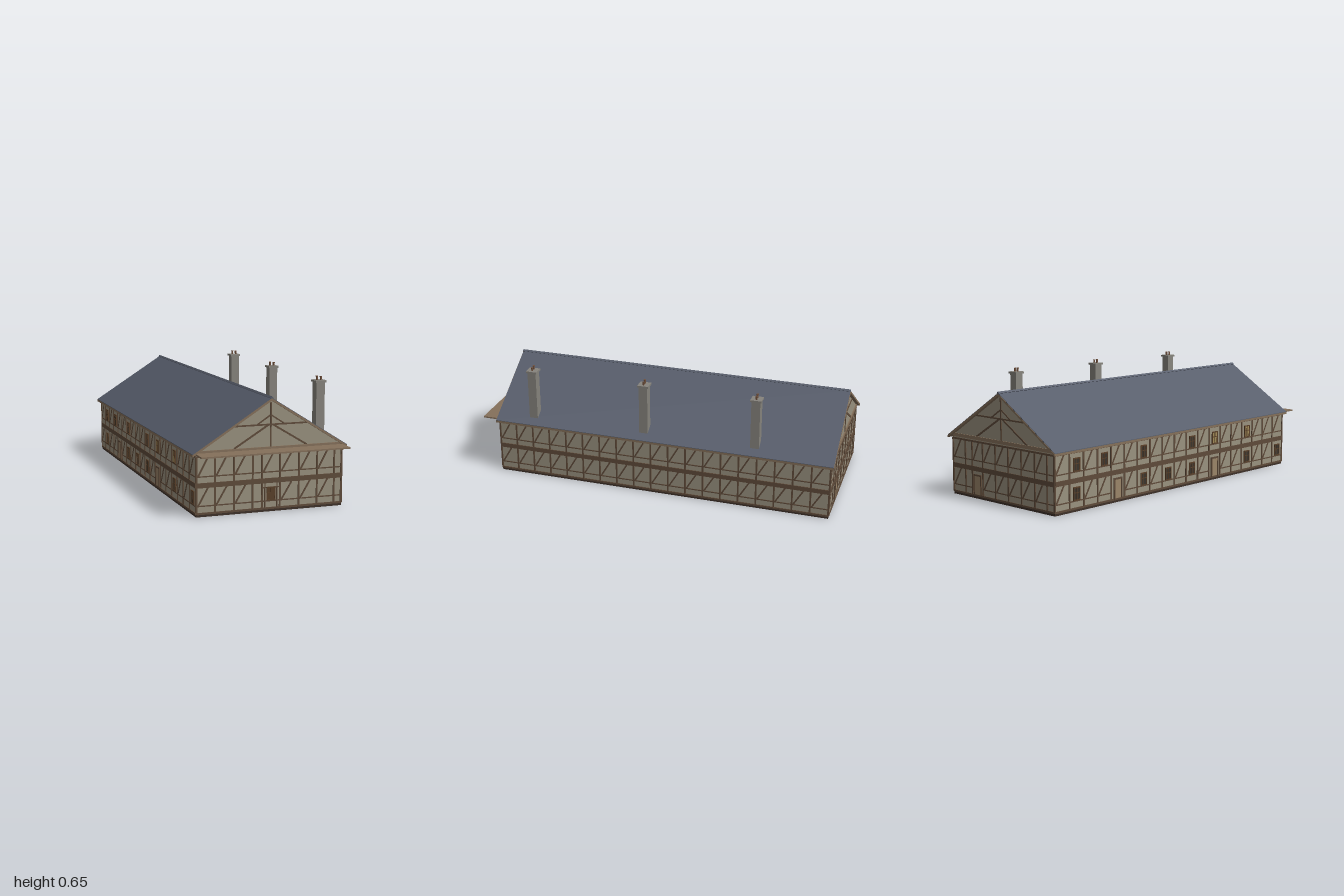
import * as THREE from 'three';

const mat = (color) => new THREE.MeshStandardMaterial({ color });
const plaster = mat(0x99917f), timber = mat(0x5f4b3a), lightWood = mat(0x85705a), slate = mat(0x585e6c);
const stone = mat(0x87847d), dark = mat(0x3d3028), clay = mat(0x70503c), glass = mat(0x3a342c);
const lit = mat(0xa08a58), doorWood = mat(0x5a4029), paleDoor = mat(0x9a8468);

const HALF = 0.392, FRONT = 0.9, BACK = -0.98, MID = (FRONT + BACK) / 2, LENGTH = FRONT - BACK;
const EAVE_X = 0.415, EAVE_Y = 0.32, RIDGE_Y = 0.58, SLOPE = (RIDGE_Y - EAVE_Y) / EAVE_X;

function box(parent, name, material, w, h, d, x, y, z) {
  const mesh = new THREE.Mesh(new THREE.BoxGeometry(w, h, d), material);
  mesh.name = name;
  mesh.position.set(x, y, z);
  parent.add(mesh);
  return mesh;
}

// Straight timber between two points on a wall plane
function beam(parent, name, x1, y1, x2, y2, width, depth = 0.008, material = timber) {
  const length = Math.hypot(x2 - x1, y2 - y1);
  const mesh = box(parent, name, material, length, width, depth, (x1 + x2) / 2, (y1 + y2) / 2, 0);
  mesh.rotation.z = Math.atan2(y2 - y1, x2 - x1);
}

// Outline in x/y pulled along z from z0 to z1
function prism(parent, name, material, points, z0, z1) {
  const shape = new THREE.Shape(points.map(([x, y]) => new THREE.Vector2(x, y)));
  const geometry = new THREE.ExtrudeGeometry(shape, { depth: z1 - z0, bevelEnabled: false });
  const mesh = new THREE.Mesh(geometry, material);
  mesh.name = name;
  mesh.position.z = z0;
  parent.add(mesh);
}

// Framed window with a centre bar and a cross bar
function addWindow(wall, x, y, w, h, pane) {
  const g = new THREE.Group();
  g.name = 'window';
  g.position.set(x, y, 0);
  box(g, 'pane', pane, w, h, 0.005, 0, 0, 0);
  for (const s of [-1, 1]) {
    box(g, 'frameSide', doorWood, 0.006, h + 0.006, 0.011, s * w / 2, 0, 0);
    box(g, 'frameRail', doorWood, w + 0.006, 0.006, 0.011, 0, s * h / 2, 0);
  }
  box(g, 'mullion', doorWood, 0.004, h, 0.009, 0, 0, 0);
  box(g, 'crossBar', doorWood, w, 0.004, 0.009, 0, 0.005, 0);
  wall.add(g);
}

function addDoor(wall, x) {
  box(wall, 'door', paleDoor, 0.05, 0.105, 0.008, x, 0.0675, 0);
  for (const s of [-1, 1]) box(wall, 'doorPost', timber, 0.008, 0.115, 0.012, x + s * 0.027, 0.0725, 0);
  box(wall, 'doorHead', timber, 0.062, 0.009, 0.012, x, 0.125, 0);
}

// Two storeys of timber framing on a wall facing local +z;
// openings: { u, floor, type, pane }, each standing in the bay that contains u
function timberWall(name, posts, openings) {
  const wall = new THREE.Group();
  wall.name = name;
  const x0 = posts[0], x1 = posts[posts.length - 1];
  const storeys = [{ bottom: 0.02, rail: 0.055, top: 0.147 }, { bottom: 0.172, rail: 0.203, top: 0.3 }];
  beam(wall, 'sill', x0, 0.017, x1, 0.017, 0.01, 0.01);
  beam(wall, 'floorBeam', x0, 0.159, x1, 0.159, 0.025, 0.01);
  beam(wall, 'topPlate', x0, 0.304, x1, 0.304, 0.01, 0.01);
  for (const x of posts) beam(wall, 'post', x, 0.015, x, 0.305, 0.009);
  storeys.forEach((s, floor) => {
    for (let i = 0; i < posts.length - 1; i++) {
      const a = posts[i], b = posts[i + 1];
      const open = openings.find((o) => o.floor === floor && o.u >= a && o.u < b);
      const mid = (a + b) / 2;
      if (!open || open.type !== 'door') beam(wall, 'rail', a, s.rail, b, s.rail, 0.006, 0.007);
      if (open && open.type === 'door') addDoor(wall, mid);
      else if (open) addWindow(wall, mid, s.rail + 0.037, 0.042, 0.064, open.pane);
      else if (b - a > 0.08) beam(wall, 'brace', a + 0.007, s.rail, a + (b - a) * 0.62, s.top, 0.008, 0.006);
    }
  });
  return wall;
}

// Gable timbers facing local +z
function gableFrame(name) {
  const g = new THREE.Group();
  g.name = name;
  beam(g, 'tieBeam', -0.39, 0.323, 0.39, 0.323, 0.018, 0.01, lightWood);
  beam(g, 'collarBeam', -0.195, 0.444, 0.195, 0.444, 0.008);
  beam(g, 'kingPost', 0, 0.33, 0, 0.555, 0.008);
  for (const s of [-1, 1]) {
    beam(g, 'gableBrace', s * 0.195, 0.332, s * 0.01, 0.444, 0.009, 0.007);
    beam(g, 'upperBrace', s * 0.075, 0.444, s * 0.004, 0.49, 0.007, 0.006);
  }
  return g;
}

export function createModel() {
  const house = new THREE.Group();
  house.name = 'timberFramedHouse';

  // Plastered body, plinth and attic
  box(house, 'plinth', dark, HALF * 2 + 0.002, 0.015, LENGTH + 0.002, 0, 0.0075, MID);
  box(house, 'walls', plaster, HALF * 2, 0.3, LENGTH, 0, 0.16, MID);
  const atticTop = RIDGE_Y - 0.012;
  prism(house, 'attic', plaster, [[-HALF, 0.31], [HALF, 0.31], [HALF, atticTop - SLOPE * HALF], [0, atticTop],
    [-HALF, atticTop - SLOPE * HALF]], BACK, FRONT);

  // Framing on all four sides
  const frontPosts = [-0.39, -0.295, -0.195, -0.095, -0.045, 0.052, 0.155, 0.255, 0.35, 0.39];
  const backPosts = [-0.39, -0.29, -0.235, -0.15, -0.05, 0.05, 0.15, 0.25, 0.34, 0.39];
  const bays = 19;
  const sidePosts = Array.from({ length: bays + 1 }, (_, i) => -LENGTH / 2 + (LENGTH * i) / bays);

  const front = timberWall('frontFraming', frontPosts, [{ u: 0, floor: 0, type: 'window', pane: doorWood }]);
  front.position.z = FRONT;
  for (const x of [-0.029, 0.036]) beam(front, 'windowPost', x, 0.02, x, 0.147, 0.006);
  beam(front, 'windowHead', -0.045, 0.124, 0.052, 0.124, 0.006);

  const back = timberWall('backFraming', backPosts, [{ u: -0.2, floor: 0, type: 'door' }]);
  back.position.z = BACK;
  back.rotation.y = Math.PI;

  const left = timberWall('leftFraming', sidePosts, []);
  left.position.set(HALF, 0, MID);
  left.rotation.y = Math.PI / 2;

  const opening = (z, floor, type, pane) => ({ u: z - MID, floor, type, pane });
  const right = timberWall('rightFraming', sidePosts, [
    ...[-0.85, -0.59, -0.32, 0.01].map((z) => opening(z, 1, 'window', glass)),
    ...[0.3, 0.6].map((z) => opening(z, 1, 'window', lit)),
    ...[-0.83, -0.32, -0.09, 0.09, 0.6, 0.83].map((z) => opening(z, 0, 'window', glass)),
    ...[-0.58, 0.3].map((z) => opening(z, 0, 'door')),
  ]);
  right.position.set(-HALF, 0, MID);
  right.rotation.y = -Math.PI / 2;

  const frontGable = gableFrame('frontGable');
  frontGable.position.z = FRONT;
  const backGable = gableFrame('backGable');
  backGable.position.z = BACK;
  backGable.rotation.y = Math.PI;
  house.add(front, back, left, right, frontGable, backGable);

  // Roof: slate skin over wooden boards that show at the gable ends and eaves
  const layer = (top, bottom) => [[-EAVE_X, EAVE_Y - bottom], [0, RIDGE_Y - bottom], [EAVE_X, EAVE_Y - bottom],
    [EAVE_X, EAVE_Y - top], [0, RIDGE_Y - top], [-EAVE_X, EAVE_Y - top]];
  prism(house, 'roofSlates', slate, layer(0, 0.003), -0.998, 0.913);
  prism(house, 'roofBoards', lightWood, layer(0.003, 0.015), -1, 0.915);
  const ridge = box(house, 'ridgeCap', slate, 0.012, 0.012, 1.915, 0, RIDGE_Y - 0.002, -0.0425);
  ridge.rotation.z = Math.PI / 4;

  // Flat canopy along the front
  box(house, 'frontCanopy', lightWood, 0.79, 0.008, 0.1, -0.003, 0.317, 0.95);

  // Chimneys with a cap and two pots each
  for (const z of [0.7, 0.055, -0.565]) {
    const chimney = new THREE.Group();
    chimney.name = 'chimney';
    chimney.position.set(0.35, 0, z);
    box(chimney, 'stack', stone, 0.048, 0.295, 0.048, 0, 0.4675, 0);
    box(chimney, 'cap', stone, 0.06, 0.011, 0.06, 0, 0.6205, 0);
    for (const [x, top] of [[-0.011, 0.648], [0.011, 0.645]]) {
      const pot = new THREE.Mesh(new THREE.CylinderGeometry(0.0055, 0.005, top - 0.625, 10), clay);
      pot.name = 'chimneyPot';
      pot.position.set(x, (top + 0.625) / 2, 0);
      const rim = new THREE.Mesh(new THREE.CylinderGeometry(0.0065, 0.0065, 0.004, 10), clay);
      rim.name = 'potRim';
      rim.position.set(x, top - 0.002, 0);
      chimney.add(pot, rim);
    }
    house.add(chimney);
  }
  return house;
}
